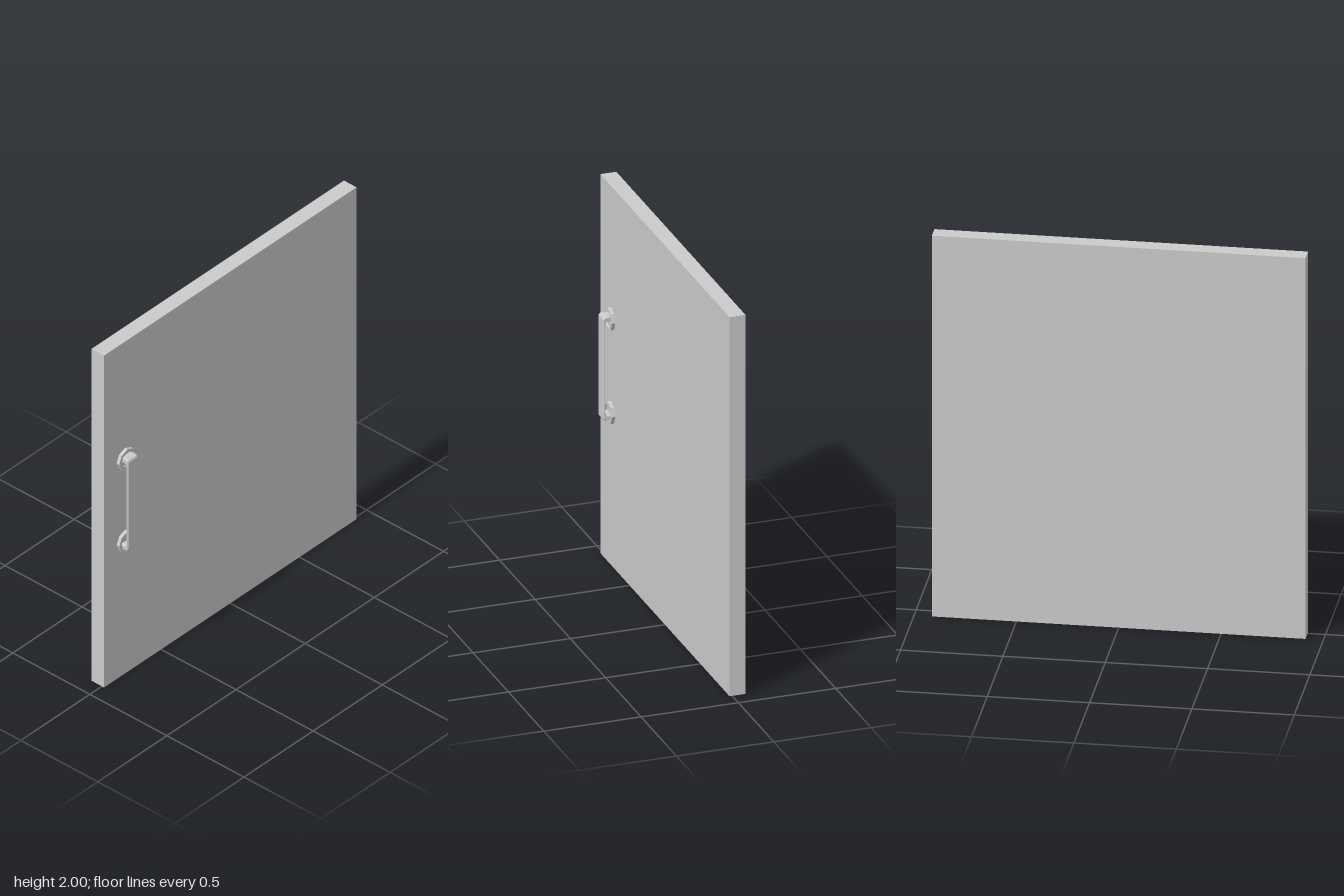
import * as THREE from 'three';

const HANDLE_X = -0.762;
const DOOR_FRONT = 0.014;
const DOOR_BACK = -0.068;

export function createModel() {
  const group = new THREE.Group();
  const material = new THREE.MeshStandardMaterial({ color: 0xcccccc, flatShading: true });
  const add = (name, geometry, x, y, z) => {
    const mesh = new THREE.Mesh(geometry, material);
    mesh.name = name;
    mesh.position.set(x, y, z);
    group.add(mesh);
  };

  // Plain door slab
  add('doorPanel', new THREE.BoxGeometry(1.826, 2, DOOR_FRONT - DOOR_BACK),
    0, 1, (DOOR_FRONT + DOOR_BACK) / 2);

  // Octagonal mounting plates with a shallow recess around each handle foot
  const plateProfile = [[0.06, 0], [0.06, 0.017], [0.043, 0.017], [0.041, 0.009], [0, 0.009]]
    .map(([r, h]) => new THREE.Vector2(r, h));
  const plate = new THREE.LatheGeometry(plateProfile, 8).rotateX(Math.PI / 2);
  for (const [name, y] of [['upperPlate', 1.3], ['lowerPlate', 0.806]]) {
    add(name, plate, HANDLE_X, y, DOOR_FRONT);
  }

  // Bracket-shaped pull: side profile (z, y) about its middle, extruded across its width
  const half = [[DOOR_FRONT, 0.275], [0.053, 0.275], [0.063, 0.271], [0.068, 0.261]];
  const inner = [[0.055, 0.236], [0.051, 0.243], [0.045, 0.246], [DOOR_FRONT, 0.246]];
  const mirrored = (points) => points.map(([z, y]) => [z, -y]).reverse();
  const outline = [...half, ...mirrored(half), ...mirrored(inner), ...inner]
    .map(([z, y]) => new THREE.Vector2(z, y));
  const bevel = 0.004;
  const width = 0.074;
  const pull = new THREE.ExtrudeGeometry(new THREE.Shape(outline), {
    depth: width - 2 * 0.008,
    bevelEnabled: true,
    bevelThickness: 0.008,
    bevelSize: bevel,
    bevelOffset: -bevel,
    bevelSegments: 1,
  });
  pull.translate(0, 0, -(width - 2 * 0.008) / 2).rotateY(-Math.PI / 2);
  add('pullHandle', pull, HANDLE_X, 1.053, 0);

  return group;
}
